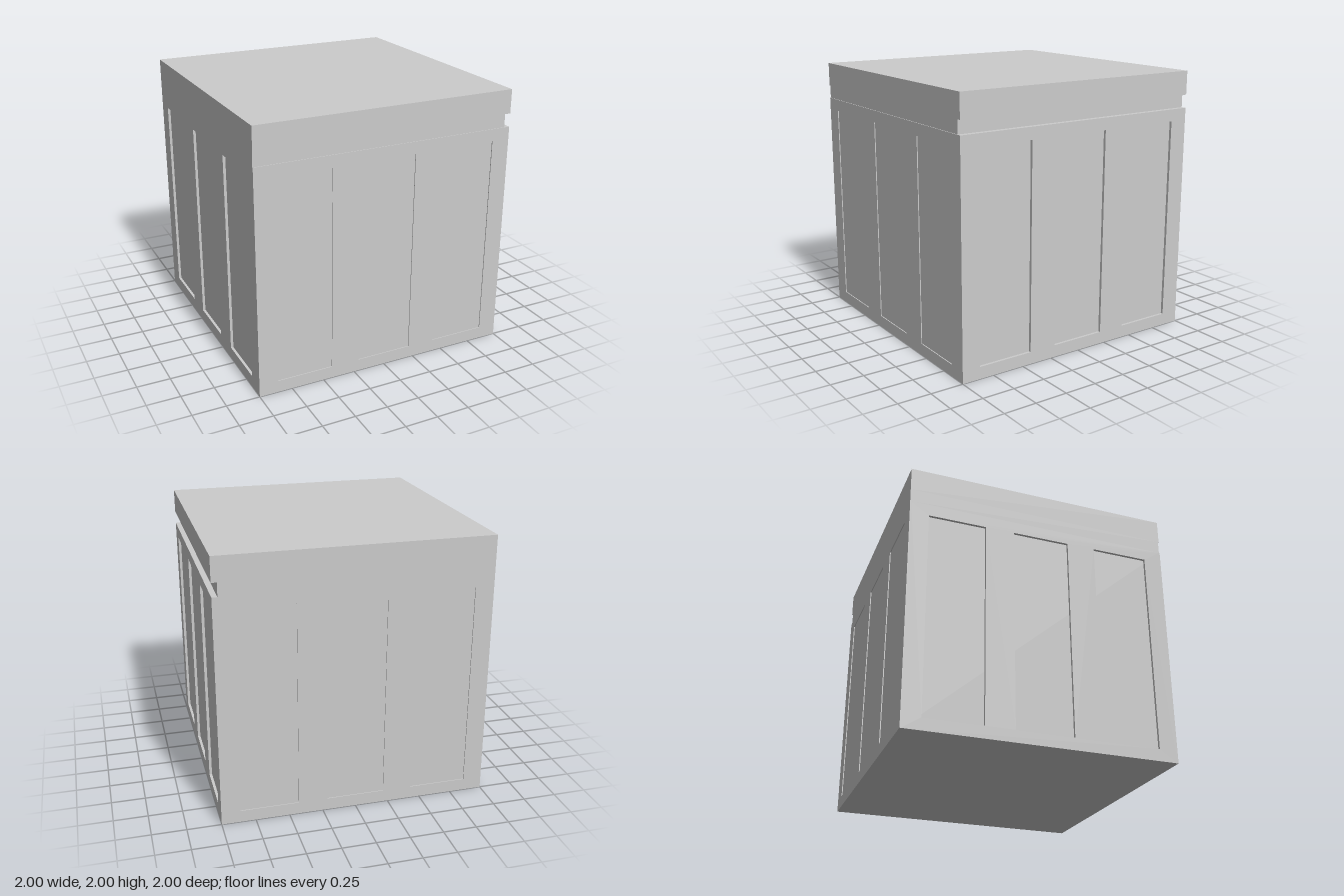
import * as THREE from 'three';

const material = new THREE.MeshStandardMaterial({ color: 0xcccccc, flatShading: true });

const BODY_TOP = 1.72, LID_BOTTOM = 1.82;
const DEPTH_X = 0.02, DEPTH_Z = 0.007; // panel recess on the sides, and on front and back

// Box given by its lower and upper corners
function box(name, x0, x1, y0, y1, z0, z1) {
  const geometry = new THREE.BoxGeometry(x1 - x0, y1 - y0, z1 - z0);
  geometry.translate((x0 + x1) / 2, (y0 + y1) / 2, (z0 + z1) / 2);
  const mesh = new THREE.Mesh(geometry, material);
  mesh.name = name;
  return mesh;
}

function rectangle(path, x0, x1, y0, y1) {
  path.moveTo(x0, y0);
  path.lineTo(x1, y0);
  path.lineTo(x1, y1);
  path.lineTo(x0, y1);
  path.closePath();
  return path;
}

// Wall frame with three tall openings, its outer face 1 unit from the centre
function wallFrame(name, halfWidth, depth, angle) {
  const shape = rectangle(new THREE.Shape(), -halfWidth, halfWidth, 0, BODY_TOP);
  for (const x of [-0.645, 0, 0.645]) {
    shape.holes.push(rectangle(new THREE.Path(), x - 0.215, x + 0.215, 0.09, 1.63));
  }
  const geometry = new THREE.ExtrudeGeometry(shape, { depth, bevelEnabled: false });
  geometry.translate(0, 0, 1 - depth);
  geometry.rotateY(angle);
  const mesh = new THREE.Mesh(geometry, material);
  mesh.name = name;
  return mesh;
}

export function createModel() {
  const model = new THREE.Group();
  model.name = 'panelledCabinet';
  const x = 1 - DEPTH_X, z = 1 - DEPTH_Z;

  // Core, whose faces form the recessed panels
  model.add(box('bodyCore', -x, x, 0, BODY_TOP, -z, z));

  // Frames around the panels
  model.add(wallFrame('frontFrame', 1, DEPTH_Z, 0));
  model.add(wallFrame('backFrame', 1, DEPTH_Z, Math.PI));
  model.add(wallFrame('leftFrame', z, DEPTH_X, Math.PI / 2));
  model.add(wallFrame('rightFrame', z, DEPTH_X, -Math.PI / 2));

  // Band set back at the front and on the +x side, forming the groove below the top
  model.add(box('grooveBand', -1, 0.96, BODY_TOP, LID_BOTTOM, -1, 0.994));
  model.add(box('topSlab', -1, 1, LID_BOTTOM, 2, -1, 1));
  return model;
}
